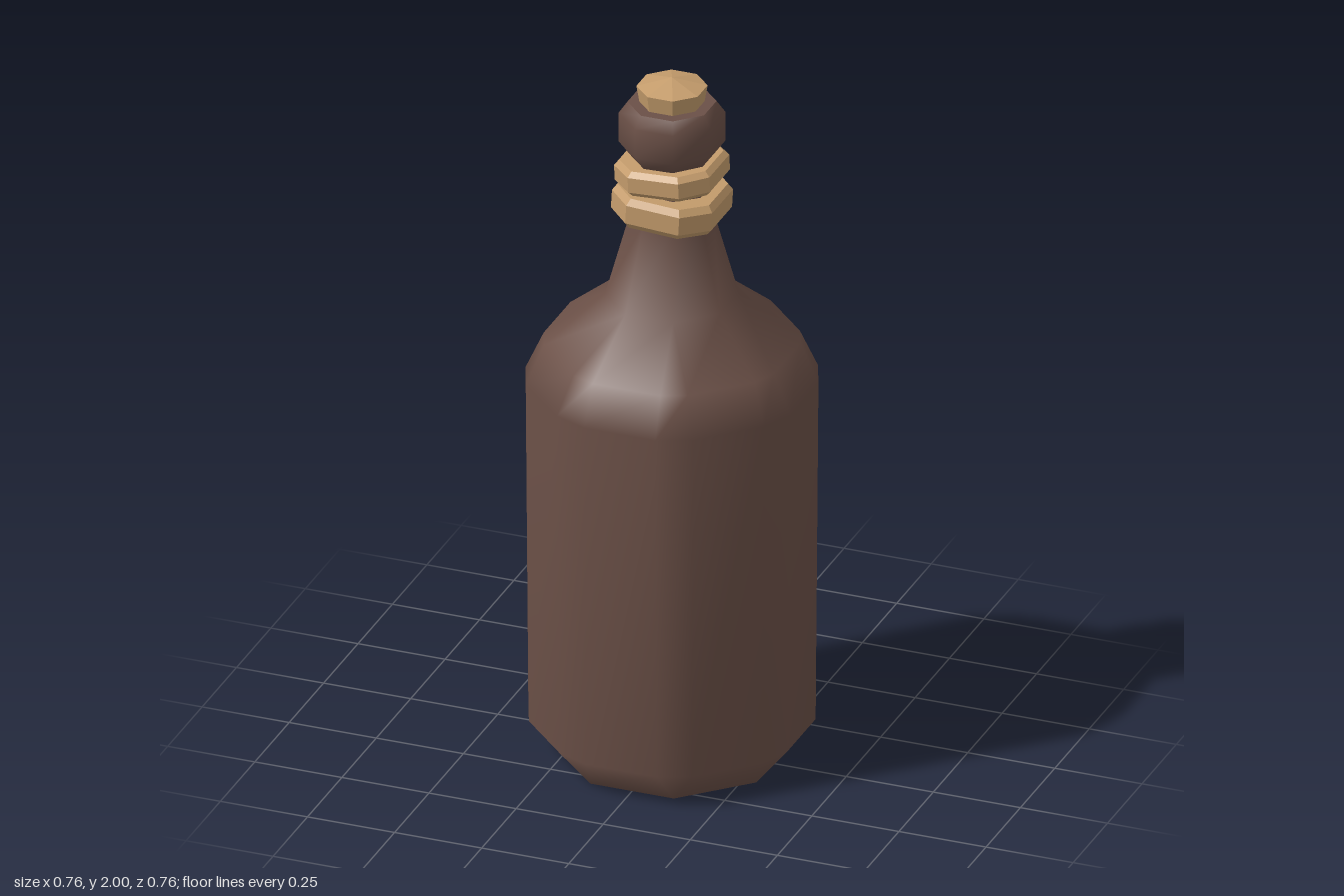
import * as THREE from 'three';
import { mergeVertices } from 'three/addons/utils/BufferGeometryUtils.js';

const GLASS = 0x6b5047;
const CORD = 0xc49c6c;

// Octagonal ring of half-width w. f places the corners, k bevels each corner into two.
function ring(y, w, k = 0, f = 0.414) {
  const c = k * 0.7;
  const quarter = [[1, f - k], [1 - c, f + c], [f + c, 1 - c], [f - k, 1]];
  const points = [];
  for (let q = 0; q < 4; q++) {
    for (const [a, b] of quarter) {
      const [x, z] = [[a, b], [-b, a], [-a, -b], [b, -a]][q];
      points.push([x * w, y, z * w]);
    }
  }
  return points;
}

// Skin stacked rings, bottom to top; smooth or flat shaded.
function loft(name, rings, color, smooth) {
  const pos = [];
  const face = (a, b, c) => {
    const same = (p, q) => Math.hypot(p[0] - q[0], p[1] - q[1], p[2] - q[2]) < 1e-6;
    if (!same(a, b) && !same(b, c) && !same(a, c)) pos.push(...a, ...b, ...c);
  };
  for (let r = 0; r < rings.length - 1; r++) {
    const lo = rings[r], hi = rings[r + 1], n = lo.length;
    for (let i = 0; i < n; i++) {
      const j = (i + 1) % n;
      face(lo[i], hi[i], lo[j]);
      face(lo[j], hi[i], hi[j]);
    }
  }
  let geometry = new THREE.BufferGeometry();
  geometry.setAttribute('position', new THREE.Float32BufferAttribute(pos, 3));
  if (smooth) geometry = mergeVertices(geometry, 1e-5);
  geometry.computeVertexNormals();
  const material = new THREE.MeshStandardMaterial({ color, flatShading: !smooth });
  const mesh = new THREE.Mesh(geometry, material);
  mesh.name = name;
  return mesh;
}

export function createModel() {
  const group = new THREE.Group();
  group.name = 'bottle';

  // Body with bevelled corners, running into a plain octagonal neck
  group.add(loft('body', [
    ring(0, 0.29), ring(0.1, 0.372, 0.14), ring(1.11, 0.38, 0.145),
    ring(1.22, 0.33, 0.12), ring(1.355, 0.165), ring(1.6, 0.102), ring(1.8, 0.09),
  ], GLASS, true));
  group.add(loft('base', [ring(0, 0), ring(0, 0.29)], GLASS, false));

  // Rounded lip and its flat rim
  group.add(loft('lip', [
    ring(1.75, 0.085), ring(1.765, 0.1), ring(1.81, 0.132), ring(1.895, 0.132), ring(1.928, 0.11),
  ], GLASS, true));
  group.add(loft('rim', [ring(1.928, 0.11), ring(1.928, 0)], GLASS, false));

  // Cork with a slightly domed top
  group.add(loft('cork', [
    ring(1.9, 0.076), ring(1.975, 0.088), ring(2, 0),
  ], CORD, false));

  // Two bevelled cord bands, tilted against each other
  for (const [name, y, w, h, tilt] of [
    ['upperBand', 1.731, 0.137, 0.036, 0.05],
    ['lowerBand', 1.638, 0.144, 0.044, -0.06],
  ]) {
    const profile = [[-h, 0.08], [-h, w - 0.013], [-h * 0.6, w], [h * 0.6, w], [h, w - 0.013], [h, 0.08]];
    const band = loft(name, profile.map(([py, pw]) => ring(py, pw, 0, 0.53)), CORD, false);
    band.position.y = y;
    band.rotation.z = tilt;
    group.add(band);
  }
  return group;
}
